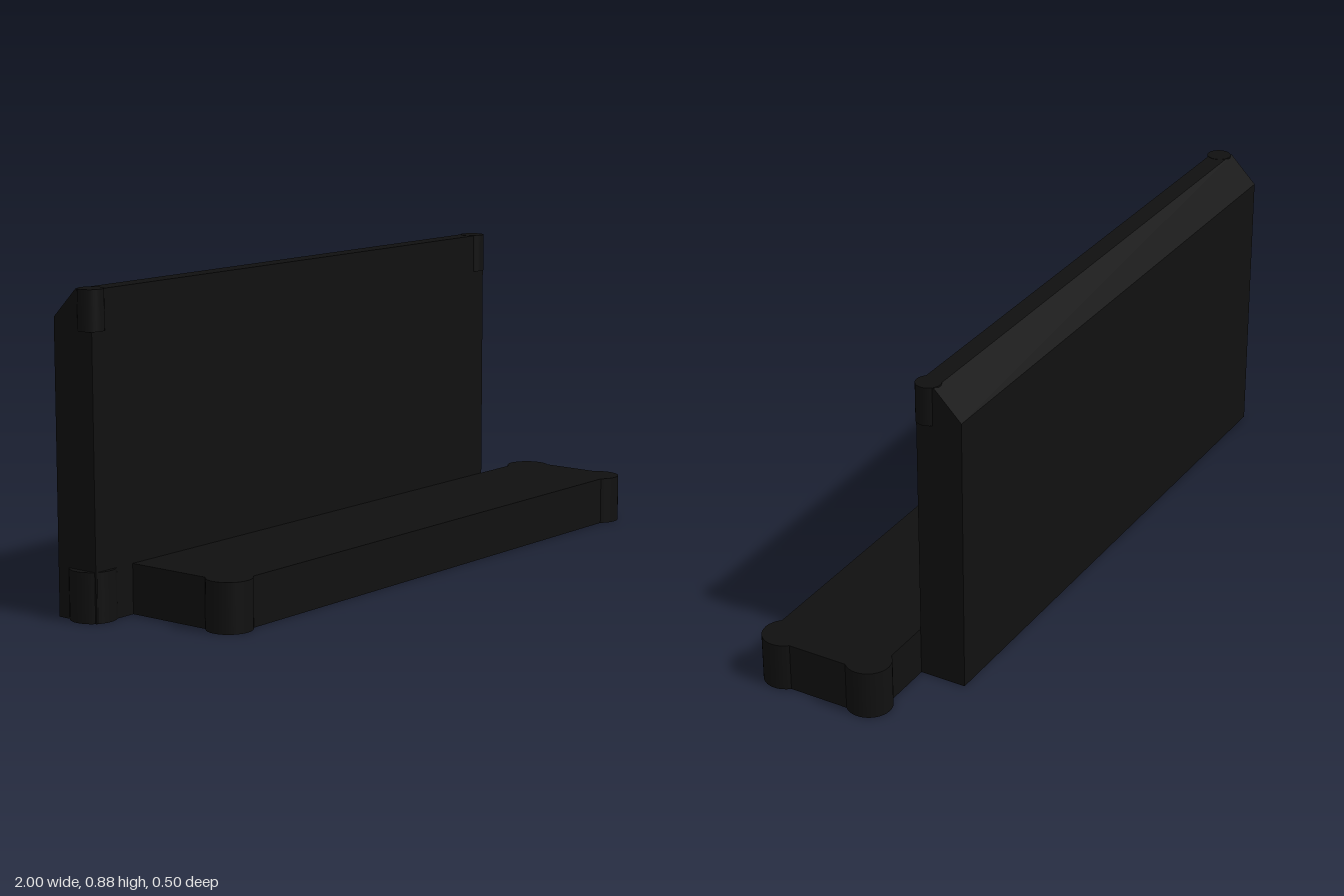
import * as THREE from 'three';

export function createModel() {
  const model = new THREE.Group();
  model.name = 'barrierWall';
  const black = new THREE.MeshStandardMaterial({ color: 0x101010 });
  black.name = 'black';

  function add(name, geometry, x = 0, y = 0, z = 0) {
    const mesh = new THREE.Mesh(geometry, black);
    mesh.name = name;
    mesh.position.set(x, y, z);
    model.add(mesh);
  }

  // Upright wall: side profile in (z, y) with a bevelled rear top edge
  const profile = new THREE.Shape([
    [-0.115, 0], [-0.115, 0.88], [-0.17, 0.88], [-0.25, 0.8], [-0.25, 0],
  ].map(([z, y]) => new THREE.Vector2(-z, y)));
  const wall = new THREE.ExtrudeGeometry(profile, { depth: 1.72, bevelEnabled: false });
  wall.rotateY(Math.PI / 2);
  add('wall', wall, -0.98);

  // Low base slab in front of the wall
  add('base', new THREE.BoxGeometry(1.82, 0.138, 0.345), 0.07, 0.069, 0.0575);

  // Round posts at the base corners and at the foot of the wall
  const post = new THREE.CylinderGeometry(0.063, 0.063, 0.138, 32);
  const posts = [[-0.8, 0.188], [0.935, 0.188], [0.935, -0.075], [-0.938, -0.166]];
  posts.forEach(([x, z], i) => add('cornerPost' + (i + 1), post, x, 0.069, z));

  // Small round caps at the upper wall corners
  const cap = new THREE.CylinderGeometry(0.035, 0.035, 0.11, 32);
  for (const [name, x] of [['rightCap', -0.957], ['leftCap', 0.716]]) {
    add(name, cap, x, 0.826, -0.139);
  }

  return model;
}
